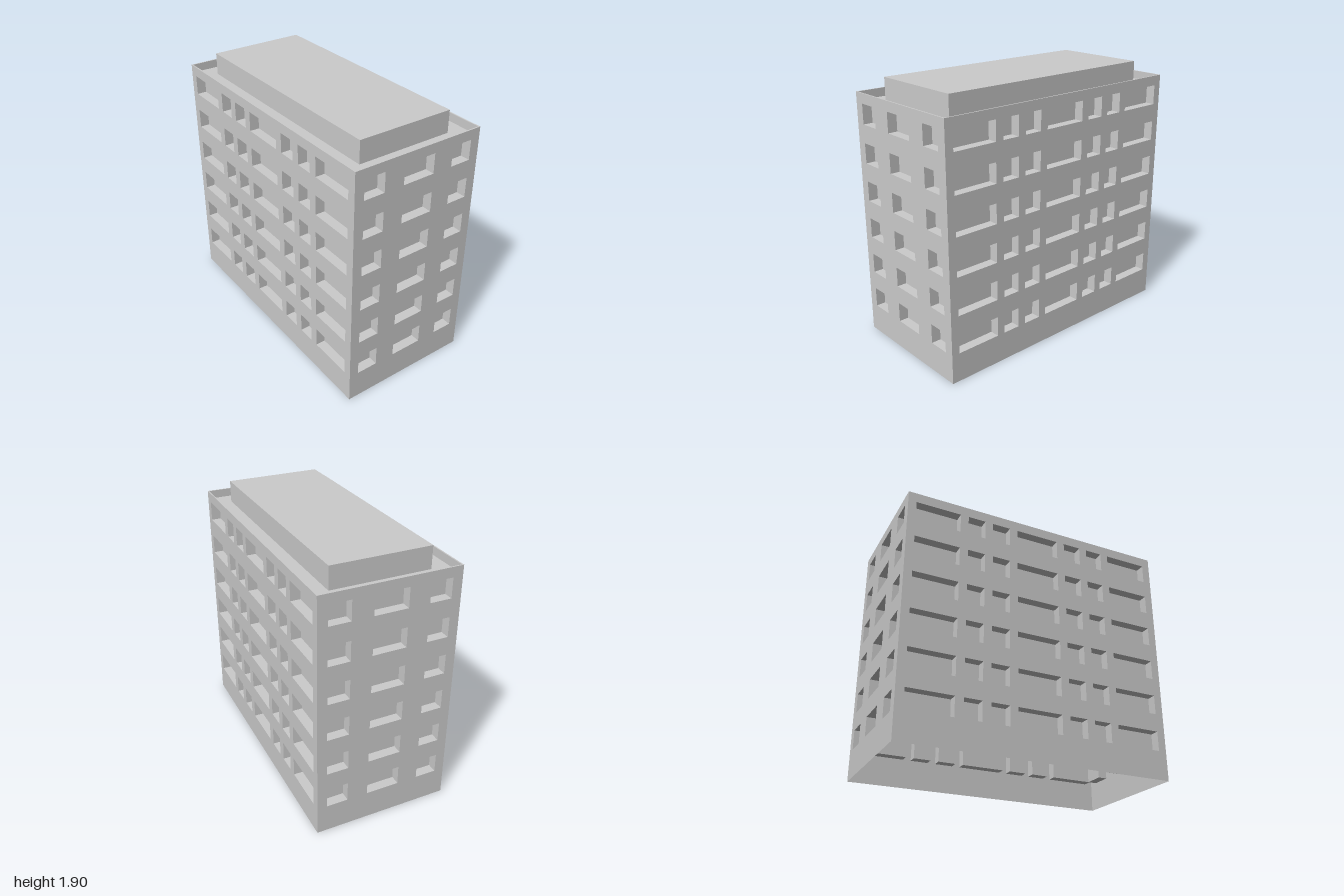
import * as THREE from 'three';
import { mergeGeometries } from 'three/addons/utils/BufferGeometryUtils.js';

const HALF_X = 1, HALF_Z = 0.495;
const ROOF_Y = 1.74, PARAPET_TOP = 1.8, PARAPET_T = 0.01, PENTHOUSE_TOP = 1.9;
const FLOORS = 6, FIRST_SILL = 0.21, FLOOR_STEP = 0.275, WINDOW_H = 0.143;
const RECESS = 0.07;

// Window [start, end] spans along each facade
const LONG_SPANS = [[-0.94, -0.61], [-0.55, -0.42], [-0.36, -0.225], [-0.165, 0.165],
  [0.225, 0.36], [0.42, 0.55], [0.61, 0.94]];
const SHORT_SPANS = [[-0.425, -0.27], [-0.12, 0.12], [0.27, 0.425]];

const solid = new THREE.MeshStandardMaterial({ color: 0xcccccc, flatShading: true });
const thin = new THREE.MeshStandardMaterial({ color: 0xcccccc, flatShading: true, side: THREE.DoubleSide });

function rect(Type, x0, y0, x1, y1) {
  const path = new Type();
  path.moveTo(x0, y0);
  path.lineTo(x1, y0);
  path.lineTo(x1, y1);
  path.lineTo(x0, y1);
  path.closePath();
  return path;
}

// Recess behind a window: a box without its outer (+z) face
function pocket(x0, y0, x1, y1) {
  const geo = new THREE.BoxGeometry(x1 - x0, y1 - y0, RECESS);
  const index = Array.from(geo.index.array);
  index.splice(24, 6);
  geo.setIndex(index);
  geo.translate((x0 + x1) / 2, (y0 + y1) / 2, -RECESS / 2);
  return geo;
}

// Thin wall facing +z with a grid of recessed windows
function facade(name, halfWidth, spans, distance, angle) {
  const wall = rect(THREE.Shape, -halfWidth, 0, halfWidth, ROOF_Y);
  const pockets = [];
  for (let floor = 0; floor < FLOORS; floor++) {
    const y0 = FIRST_SILL + floor * FLOOR_STEP, y1 = y0 + WINDOW_H;
    for (const [x0, x1] of spans) {
      wall.holes.push(rect(THREE.Path, x0, y0, x1, y1));
      pockets.push(pocket(x0, y0, x1, y1));
    }
  }
  const group = new THREE.Group();
  group.name = name;
  const wallMesh = new THREE.Mesh(new THREE.ShapeGeometry(wall), thin);
  wallMesh.name = name + 'Wall';
  const windows = new THREE.Mesh(mergeGeometries(pockets), thin);
  windows.name = name + 'Windows';
  group.add(wallMesh, windows);
  group.rotation.y = angle;
  group.position.set(Math.sin(angle) * distance, 0, Math.cos(angle) * distance);
  return group;
}

export function createModel() {
  const model = new THREE.Group();
  model.name = 'apartmentBlock';

  // Four facades around an open-bottomed shell
  model.add(
    facade('front', HALF_X, LONG_SPANS, HALF_Z, 0),
    facade('left', HALF_Z, SHORT_SPANS, HALF_X, Math.PI / 2),
    facade('back', HALF_X, LONG_SPANS, HALF_Z, Math.PI),
    facade('right', HALF_Z, SHORT_SPANS, HALF_X, -Math.PI / 2),
  );

  // Flat roof
  const roof = new THREE.Mesh(new THREE.PlaneGeometry(2 * HALF_X, 2 * HALF_Z).rotateX(-Math.PI / 2), thin);
  roof.name = 'roof';
  roof.position.y = ROOF_Y;
  model.add(roof);

  // Thin parapet rim
  const rim = rect(THREE.Shape, -HALF_X, -HALF_Z, HALF_X, HALF_Z);
  const ix = HALF_X - PARAPET_T, iz = HALF_Z - PARAPET_T;
  rim.holes.push(rect(THREE.Path, -ix, -iz, ix, iz));
  const parapetGeo = new THREE.ExtrudeGeometry(rim, { depth: PARAPET_TOP - ROOF_Y, bevelEnabled: false });
  const parapet = new THREE.Mesh(parapetGeo.rotateX(-Math.PI / 2), solid);
  parapet.name = 'parapet';
  parapet.position.y = ROOF_Y;
  model.add(parapet);

  // Set-back block on the roof
  const h = PENTHOUSE_TOP - ROOF_Y;
  const penthouse = new THREE.Mesh(new THREE.BoxGeometry(1.72, h, 0.71), solid);
  penthouse.name = 'penthouse';
  penthouse.position.y = ROOF_Y + h / 2;
  model.add(penthouse);

  return model;
}
